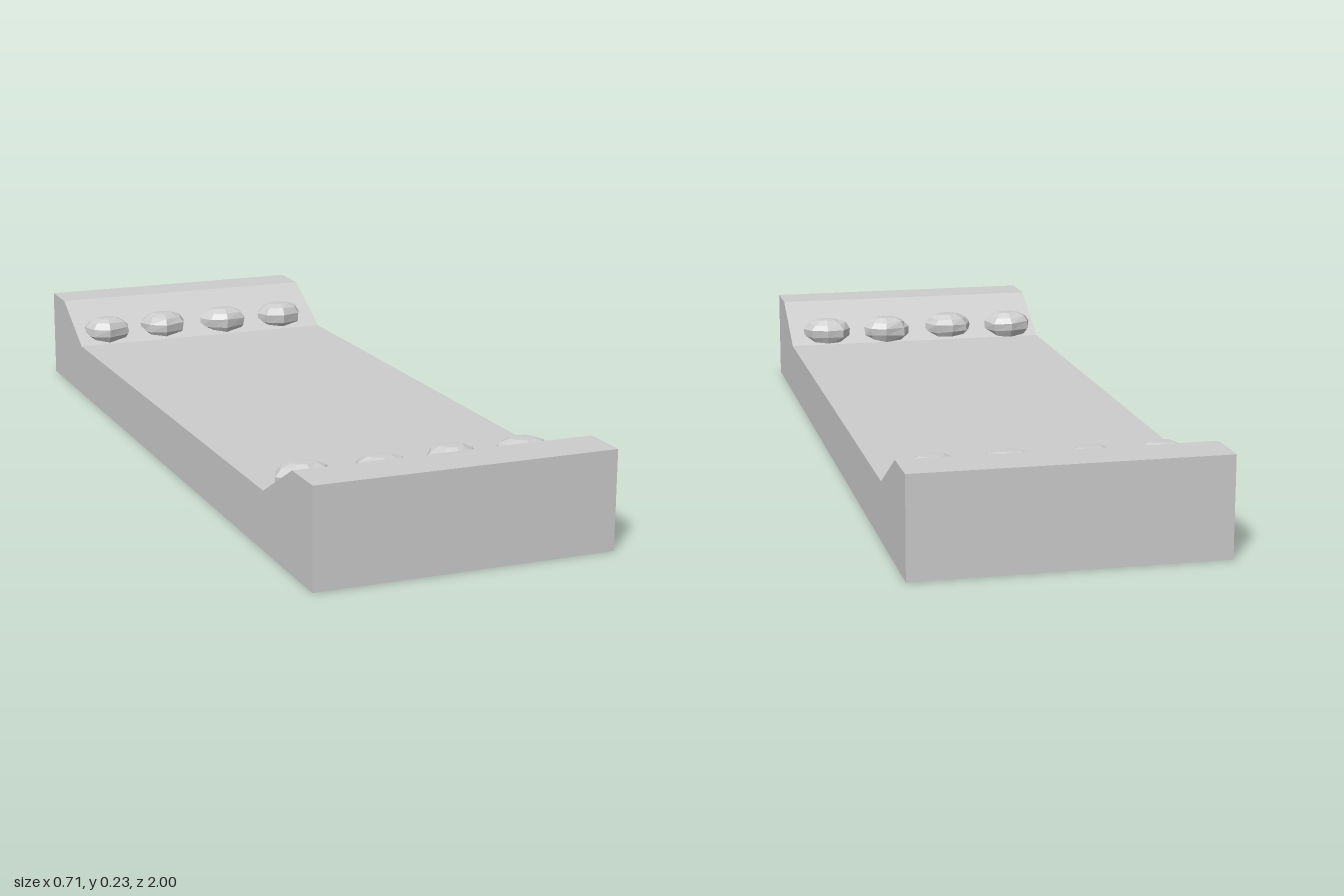
import * as THREE from 'three';

const stone = new THREE.MeshStandardMaterial({ color: 0xcccccc, flatShading: true });
stone.name = 'grey stone';
const sheet = new THREE.MeshStandardMaterial({ color: 0xcccccc, side: THREE.DoubleSide });
sheet.name = 'grey sheet';

// small seeded random number, 0 to 1
function seeded(seed) {
  let s = seed;
  return () => (s = (s * 16807) % 2147483647) / 2147483647;
}

// faceted boulder: irregular rings stacked from bottom to top, closed by two fans
function boulder(seed, halfWidth, halfDepth) {
  const rand = seeded(seed * 7919 + 13);
  const sides = 8;
  const rings = [[-0.034, 0.72], [-0.014, 0.98], [0.008, 1], [0.024, 0.8], [0.034, 0.45]];
  const outline = Array.from({ length: sides }, () => ({ r: 0.9 + 0.14 * rand(), a: (rand() - 0.5) * 0.35 }));
  const pos = [0, -0.034, 0];
  const index = [];
  for (const [y, scale] of rings) {
    outline.forEach((o, i) => {
      const a = (i / sides) * Math.PI * 2 + o.a;
      const r = o.r * scale * (0.97 + 0.06 * rand());
      pos.push(Math.cos(a) * r * halfWidth, y + (Math.abs(y) < 0.03 ? (rand() - 0.5) * 0.006 : 0), Math.sin(a) * r * halfDepth);
    });
  }
  const top = pos.length / 3;
  pos.push(0, 0.035, 0);
  for (let i = 0; i < sides; i++) {
    const j = (i + 1) % sides;
    index.push(0, 1 + i, 1 + j);
    for (let k = 0; k < rings.length - 1; k++) {
      const a = 1 + k * sides + i, b = 1 + k * sides + j;
      index.push(a, a + sides, b, b, a + sides, b + sides);
    }
    const last = 1 + (rings.length - 1) * sides;
    index.push(last + i, top, last + j);
  }
  const indexed = new THREE.BufferGeometry();
  indexed.setAttribute('position', new THREE.Float32BufferAttribute(pos, 3));
  indexed.setIndex(index);
  const geo = indexed.toNonIndexed();
  geo.computeVertexNormals();
  return geo;
}

export function createModel() {
  const model = new THREE.Group();
  model.name = 'stoneChannel';

  // channel bed with raised, sloped ends: side profile (z, y) extruded across x
  const width = 0.714;
  const profile = new THREE.Shape([
    [-1, 0], [1, 0], [1, 0.233], [0.886, 0.233], [0.715, 0.138],
    [-0.715, 0.138], [-0.886, 0.233], [-1, 0.233],
  ].map(([z, y]) => new THREE.Vector2(-z, y)));
  const bedGeo = new THREE.ExtrudeGeometry(profile, { depth: width, bevelEnabled: false });
  bedGeo.translate(0, 0, -width / 2).rotateY(Math.PI / 2);
  const bed = new THREE.Mesh(bedGeo, stone);
  bed.name = 'channelBed';
  model.add(bed);

  // thin sheet inside the bed, its edge showing as a seam on the long sides
  const seam = new THREE.Mesh(new THREE.PlaneGeometry(width, 1.352).rotateX(-Math.PI / 2), sheet);
  seam.name = 'innerSheet';
  seam.position.y = 0.046;
  model.add(seam);

  // a row of boulders at the foot of each slope: [x, z]
  const spots = [
    [-0.268, -0.758], [-0.1, -0.764], [0.08, -0.76], [0.253, -0.763],
    [-0.275, 0.747], [-0.1, 0.76], [0.08, 0.75], [0.253, 0.753],
  ];
  spots.forEach(([x, z], i) => {
    const rock = new THREE.Mesh(boulder(i + 1, 0.068, 0.049), stone);
    rock.name = (z > 0 ? 'frontBoulder' : 'backBoulder') + ((i % 4) + 1);
    rock.position.set(x, 0.17, z);
    model.add(rock);
  });
  return model;
}
